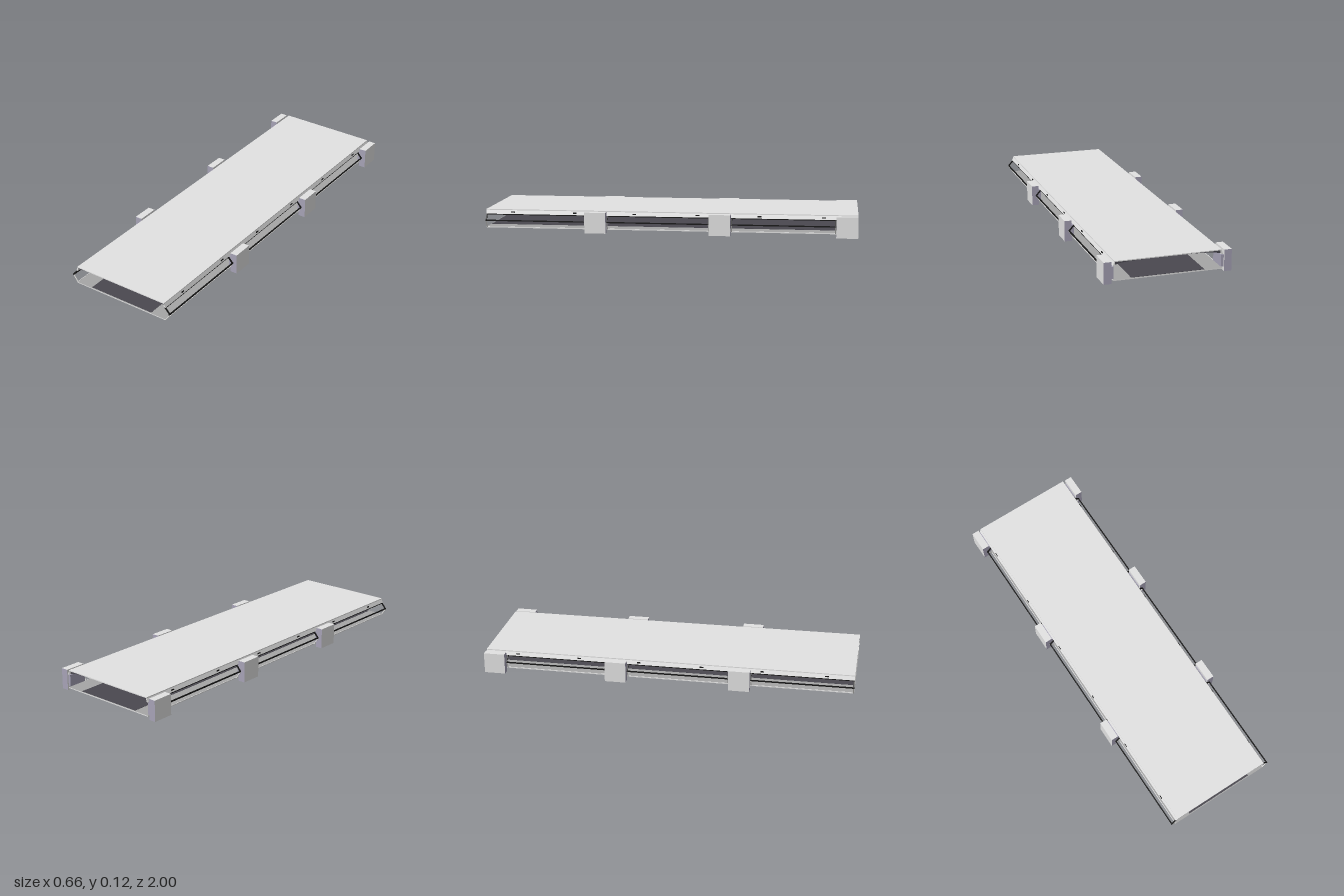
import * as THREE from 'three';

const mat = (name, color) => {
  const m = new THREE.MeshStandardMaterial({ color });
  m.name = name;
  return m;
};

export function createModel() {
  const grey = mat('panel grey', 0xe2e2e2);
  const midGrey = mat('floor grey', 0xa6a6a6);
  const blueGrey = mat('bracket blue grey', 0xa6a2b6);
  const dark = mat('walkway dark', 0x4a4850);
  const black = mat('frame black', 0x161616);
  const pale = mat('strut pale', 0xf2f2ee);
  const group = new THREE.Group();

  const add = (name, geometry, material, x = 0, y = 0, z = 0) => {
    const mesh = new THREE.Mesh(geometry, material);
    mesh.name = name;
    mesh.position.set(x, y, z);
    group.add(mesh);
    return mesh;
  };
  const box = (name, w, h, d, material, x, y, z) =>
    add(name, new THREE.BoxGeometry(w, h, d), material, x, y, z);

  // Extrude an outline in x, y along z
  const prism = (name, points, z0, z1, material) => {
    const shape = new THREE.Shape(points.map(([x, y]) => new THREE.Vector2(x, y)));
    const geometry = new THREE.ExtrudeGeometry(shape, { depth: z1 - z0, bevelEnabled: false });
    return add(name, geometry, material, 0, 0, z0);
  };

  // Slanted strut between two points in the x, y plane
  const strut = (name, [x0, y0], [x1, y1], z, t, material) => {
    const bar = box(name, Math.hypot(x1 - x0, y1 - y0), t, t,
      material, (x0 + x1) / 2, (y0 + y1) / 2, z);
    bar.rotation.z = Math.atan2(y1 - y0, x1 - x0);
  };

  // Deck, floor with a darker top, and the walkway strip along it
  box('deck', 0.554, 0.005, 2, grey, 0, 0.1125, 0);
  box('floor', 0.566, 0.005, 2, [grey, grey, midGrey, grey, grey, grey], 0, 0.0165, 0);
  box('walkwayStrip', 0.38, 0.001, 1.99, dark, 0, 0.0195, 0);

  // Ceiling with a shallow arched underside
  const arch = [[0.274, 0.11], [-0.274, 0.11]];
  for (let i = 0; i <= 24; i++) {
    const u = -1 + i / 12;
    arch.push([0.274 * u, 0.107 - 0.007 * u * u - 0.008 * Math.pow(Math.abs(u), 10)]);
  }
  prism('archedCeiling', arch, -0.99, 0.99, [dark, grey]);

  const posts = [-0.9425, -0.2725, 0.395];
  const bays = [[-0.885, -0.33], [-0.215, 0.338], [0.452, 1]];

  for (const s of [-1, 1]) {
    // Sloping edge trim below the deck
    prism('edgeTrim', [[s * 0.274, 0.11], [s * 0.277, 0.11], [s * 0.285, 0.09], [s * 0.275, 0.09]],
      -1, 1, grey);

    // Clamp blocks with an inner bracket
    for (const z of posts) {
      const faces = [grey, grey, grey, grey, blueGrey, blueGrey];
      box('clampBlock', 0.039, 0.112, 0.114, faces, s * 0.3115, 0.056, z);
      box('clampBracket', 0.014, 0.063, 0.1, blueGrey, s * 0.285, 0.0535, z);
    }

    // Open side frames between the clamps
    for (const [z0, z1] of bays) {
      const mid = (z0 + z1) / 2, length = z1 - z0;
      box('upperRail', 0.006, 0.005, length, black, s * 0.281, 0.0875, mid);
      box('middleRail', 0.006, 0.006, length, black, s * 0.307, 0.057, mid);
      box('lowerRail', 0.003, 0.004, length, grey, s * 0.283, 0.018, mid);
      for (const z of [z0 + 0.004, z1 - 0.004]) {
        strut('upperStrut', [s * 0.281, 0.088], [s * 0.309, 0.056], z, 0.006, black);
        strut('lowerStrut', [s * 0.309, 0.055], [s * 0.283, 0.017], z, 0.004, pale);
      }
      // Fixings on the sloping trim
      for (const z of [mid - 0.213, mid + 0.127]) {
        box('trimFixing', 0.004, 0.006, 0.02, black, s * 0.281, 0.1, z);
      }
      // Flush ceiling vent following the arch
      box('ceilingVent', 0.04, 0.003, 0.06, black, s * 0.2, 0.1029, mid + 0.13)
        .rotation.z = -s * 0.055;
    }
  }
  return group;
}
